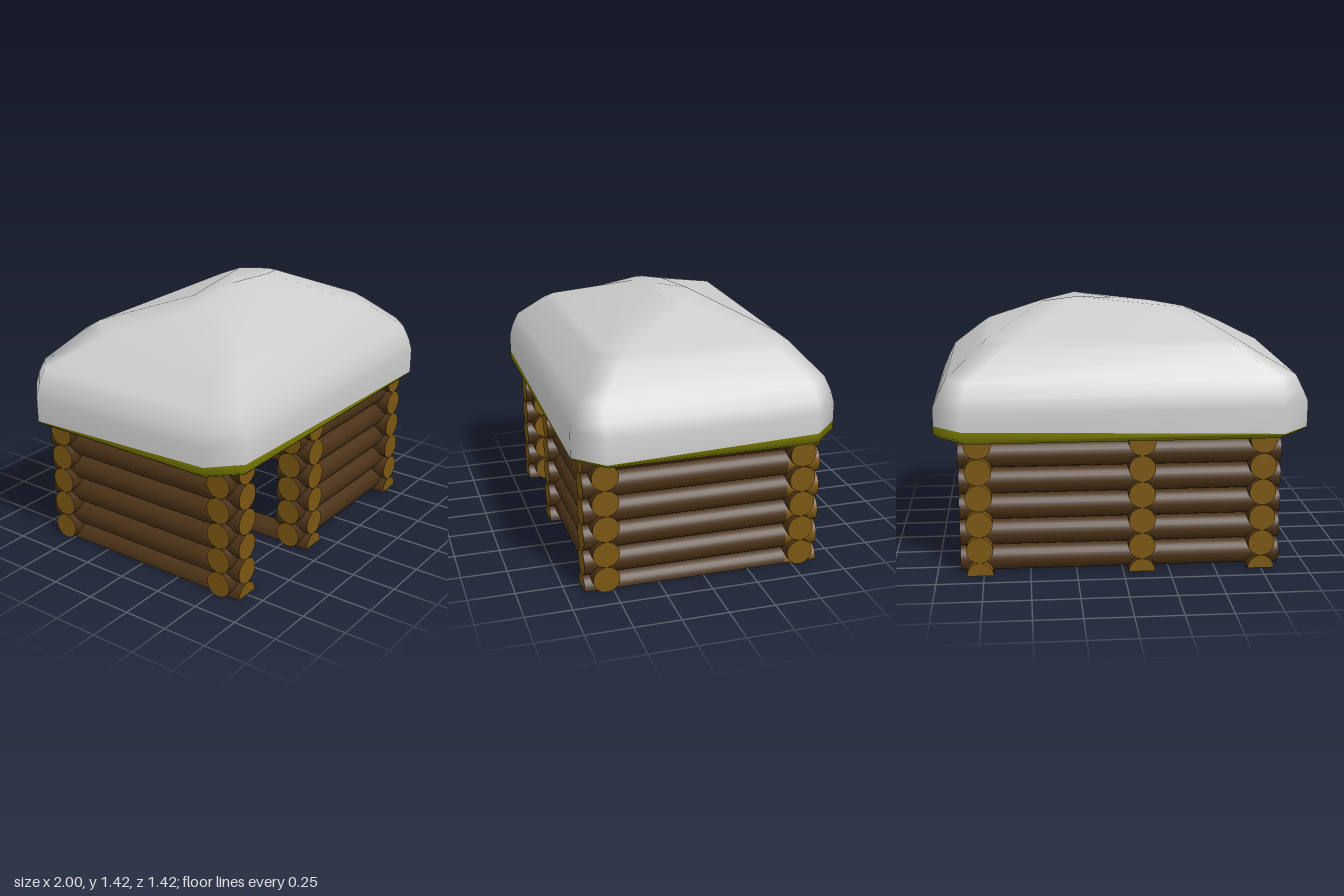
import * as THREE from 'three';

const R = 0.072;          // log radius
const STEP = 0.144;       // vertical log spacing
const bark = new THREE.MeshStandardMaterial({ color: 0x4a3116 });
const cutWood = new THREE.MeshStandardMaterial({ color: 0x7a5612 });
const olive = new THREE.MeshStandardMaterial({ color: 0x7c7c04 });
const grey = new THREE.MeshStandardMaterial({ color: 0xcccccc });

// Log lying along x or z, from a to b, with pale cut ends
function addLog(parent, name, axis, a, b, offset, y, side = bark) {
  const geo = new THREE.CylinderGeometry(R, R, b - a, 24);
  const log = new THREE.Mesh(geo, [side, cutWood, cutWood]);
  const mid = (a + b) / 2;
  if (axis === 'x') {
    geo.rotateZ(Math.PI / 2);
    log.position.set(mid, y, offset);
  } else {
    geo.rotateX(Math.PI / 2);
    log.position.set(offset, y, mid);
  }
  log.name = name;
  parent.add(log);
}

// Half log along z, resting flat on the ground
function addSill(parent, a, b, x, side = bark) {
  const sill = new THREE.Group();
  sill.name = 'sillLog';
  const round = new THREE.CylinderGeometry(R, R, b - a, 12, 1, false, Math.PI / 2, Math.PI);
  const flat = new THREE.PlaneGeometry(2 * R, b - a);
  sill.add(new THREE.Mesh(round.rotateX(Math.PI / 2), [side, cutWood, cutWood]));
  sill.add(new THREE.Mesh(flat.rotateX(Math.PI / 2), bark));
  sill.position.set(x, 0, (a + b) / 2);
  parent.add(sill);
}

// Eight-sided ring; each half is [sideX, sideY, sideZ, cornerX, cornerY, cornerZ]
function ring(l, r) {
  return [
    [-l[3], l[4], l[5]], [r[3], r[4], r[5]], [r[0], r[1], r[2]], [r[0], r[1], -r[2]],
    [r[3], r[4], -r[5]], [-l[3], l[4], -l[5]], [-l[0], l[1], -l[2]], [-l[0], l[1], l[2]],
  ];
}

// Rectangle ring with cut corners
function octagon(x, z, cut, y) {
  const half = [x, y, z - cut, x - cut, y, z];
  return ring(half, half);
}

const point = (x, y, z) => Array.from({ length: 8 }, () => [x, y, z]);

// Skin a stack of rings, bottom to top
function loft(name, rings, material) {
  const n = 8, index = [];
  for (let j = 0; j < rings.length - 1; j++) {
    for (let i = 0; i < n; i++) {
      const a = j * n + i, b = j * n + (i + 1) % n;
      index.push(a, b, b + n, a, b + n, a + n);
    }
  }
  const geo = new THREE.BufferGeometry();
  geo.setAttribute('position', new THREE.Float32BufferAttribute(rings.flat(2), 3));
  geo.setIndex(index);
  geo.computeVertexNormals();
  const mesh = new THREE.Mesh(geo, material);
  mesh.name = name;
  return mesh;
}

function buildWalls() {
  const walls = new THREE.Group();
  walls.name = 'walls';

  // Front and back walls; the front has a doorway left of the partition
  for (let k = 0; k < 5; k++) {
    const y = R + k * STEP;
    addLog(walls, 'backLog', 'x', -0.855, 0.875, -0.54, y);
    addLog(walls, 'frontLog', 'x', -0.2, 0.875, 0.54, y);
    addLog(walls, 'doorStub', 'x', -0.855, -0.645, 0.54, y);
  }

  // Side walls and the partition with its inner doorway
  for (let k = 1; k <= 5; k++) {
    const y = k * STEP;
    addLog(walls, 'rightSideLog', 'z', -0.65, 0.65, -0.75, y);
    addLog(walls, 'leftSideLog', 'z', -0.47, 0.65, 0.77, y);
    addLog(walls, 'leftSideLogTip', 'z', -0.65, -0.47, 0.77, y, cutWood);
    addLog(walls, 'partitionStub', 'z', 0.44, 0.65, -0.1, y);
    addLog(walls, 'partitionStub', 'z', -0.65, -0.44, -0.1, y);
  }
  addSill(walls, -0.65, 0.65, -0.75);
  addSill(walls, -0.65, 0.65, -0.1);
  addSill(walls, -0.47, 0.65, 0.77);
  addSill(walls, -0.65, -0.47, 0.77, cutWood);
  return walls;
}

function buildRoof() {
  const roof = new THREE.Group();
  roof.name = 'roof';

  // Olive eaves, with a slightly uneven upper edge
  const bottom = octagon(0.965, 0.685, 0.14, 0.74);
  const edge = octagon(1, 0.71, 0.15, 0)
    .map(([x, , z]) => [x, 0.79 - 0.025 * x * z / 0.71, z]);
  roof.add(loft('ceiling', [point(0, 0.74, 0), bottom], olive));
  roof.add(loft('eaves', [bottom, octagon(1, 0.71, 0.15, 0.765), edge], olive));

  // Thick lopsided cover with rounded shoulders
  roof.add(loft('roofCover', [
    edge,
    octagon(1, 0.71, 0.15, 0.91),
    octagon(0.97, 0.695, 0.13, 0.975),
    octagon(0.93, 0.66, 0.105, 1.055),
    ring([0.72, 1.17, 0.41, 0.62, 1.205, 0.53], [0.76, 1.2, 0.43, 0.63, 1.205, 0.53]),
    ring([0.66, 1.205, 0.36, 0.56, 1.24, 0.485], [0.71, 1.24, 0.38, 0.56, 1.24, 0.485]),
    ring([0.4, 1.345, 0.02, 0.22, 1.37, 0.09], [0.4, 1.39, 0.03, 0.22, 1.422, 0.1]),
    point(0, 1.4, 0),
  ], grey));
  return roof;
}

export function createModel() {
  const cabin = new THREE.Group();
  cabin.name = 'logCabin';
  cabin.add(buildWalls(), buildRoof());
  return cabin;
}
